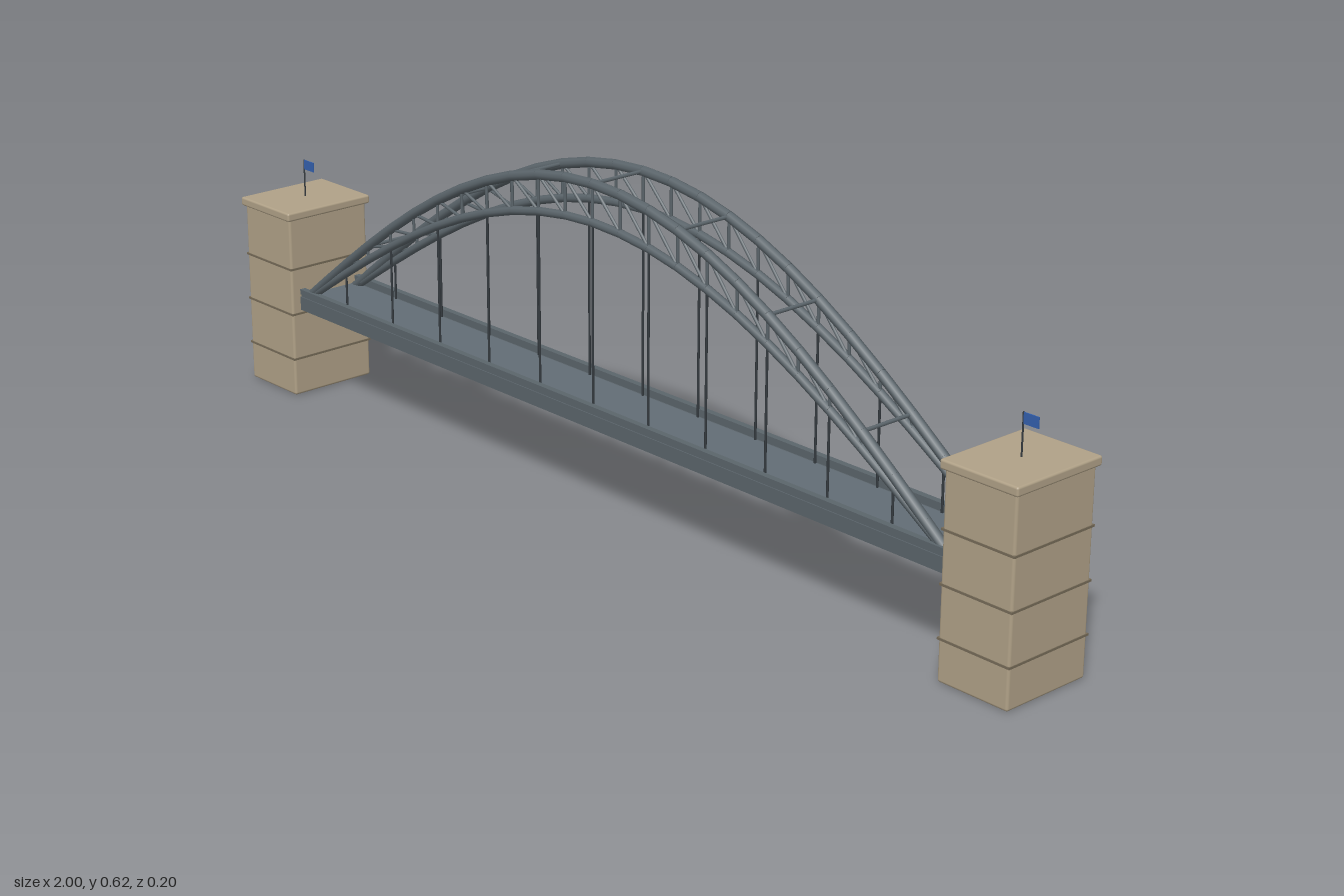
import * as THREE from 'three';
import { RoundedBoxGeometry } from 'three/addons/geometries/RoundedBoxGeometry.js';

const material = (name, color) => {
  const m = new THREE.MeshStandardMaterial({ color });
  m.name = name;
  return m;
};

export function createModel() {
  const model = new THREE.Group();
  model.name = 'archBridge';

  const stone = material('sandstone', 0xb0a187);
  const joint = material('dark stone joint', 0x766b58);
  const steel = material('grey steel', 0x5b656b);
  const road = material('road surface', 0x626d75);
  const dark = material('dark cable', 0x353b40);
  const blue = material('flag blue', 0x3360ae);

  const add = (parent, name, geometry, mat, x = 0, y = 0, z = 0) => {
    const mesh = new THREE.Mesh(geometry, mat);
    mesh.name = name;
    mesh.position.set(x, y, z);
    parent.add(mesh);
    return mesh;
  };

  // Straight bar between two points
  const up = new THREE.Vector3(0, 1, 0);
  const bar = (parent, name, a, b, radius, mat, sides = 6) => {
    const dir = b.clone().sub(a);
    const mesh = add(parent, name, new THREE.CylinderGeometry(radius, radius, dir.length(), sides), mat);
    mesh.position.copy(a).add(b).multiplyScalar(0.5);
    mesh.quaternion.setFromUnitVectors(up, dir.normalize());
  };

  // Arch chords follow a half cosine over the span
  const HALF = 0.857, BASE = 0.186, ARCH_Z = 0.0585, DECK_TOP = 0.2;
  const chordPoint = (x, rise, z) =>
    new THREE.Vector3(x, BASE + rise * Math.cos((Math.PI / 2) * (x / HALF)), z);
  const upper = (x, z) => chordPoint(x, 0.429, z);
  const lower = (x, z) => chordPoint(x, 0.36, z);

  // Stone towers with caps, joints and flags
  for (const side of [-1, 1]) {
    const tower = new THREE.Group();
    tower.name = side > 0 ? 'leftTower' : 'rightTower';
    tower.position.x = side * 0.9215;
    model.add(tower);
    add(tower, 'towerBody', new RoundedBoxGeometry(0.145, 0.364, 0.183, 2, 0.005), stone, 0, 0.182);
    add(tower, 'towerCap', new RoundedBoxGeometry(0.157, 0.017, 0.196, 2, 0.004), stone, 0, 0.3665);
    for (const y of [0.075, 0.167, 0.259])
      add(tower, 'stoneJoint', new THREE.BoxGeometry(0.148, 0.004, 0.186), joint, 0, y);
    add(tower, 'flagPole', new THREE.CylinderGeometry(0.0015, 0.0015, 0.076, 8), dark, 0, 0.411);
    add(tower, 'flag', new THREE.BoxGeometry(0.03, 0.019, 0.002), blue, 0.016, 0.439);
  }

  // Deck with road, edge girders and handrails
  const deck = new THREE.Group();
  deck.name = 'deck';
  model.add(deck);
  const length = 1.71;
  add(deck, 'deckSlab', new THREE.BoxGeometry(length, 0.024, 0.136), steel, 0, 0.1865);
  add(deck, 'roadSurface', new THREE.BoxGeometry(length, 0.003, 0.12), road, 0, 0.1995);
  for (const side of [-1, 1]) {
    add(deck, 'edgeGirder', new THREE.BoxGeometry(length, 0.027, 0.012), steel, 0, 0.1875, side * 0.066);
    add(deck, 'railBase', new THREE.BoxGeometry(length, 0.006, 0.008), steel, 0, 0.203, side * 0.066);
    add(deck, 'edgeRail', new THREE.BoxGeometry(length, 0.01, 0.012), steel, 0, 0.211, side * 0.066);
  }

  // Two trussed arches with hangers
  const PANELS = 24, panel = (2 * HALF) / PANELS;
  for (const side of [-1, 1]) {
    const z = side * ARCH_Z;
    const arch = new THREE.Group();
    arch.name = side > 0 ? 'frontArch' : 'backArch';
    model.add(arch);
    for (let i = 0; i < PANELS; i++) {
      const x = -HALF + i * panel, next = x + panel;
      // Straight chord segments
      bar(arch, 'upperChord', upper(x, z), upper(next, z), 0.0095, steel, 8);
      bar(arch, 'lowerChord', lower(x, z), lower(next, z), 0.008, steel, 8);
      // Posts and diagonals between the chords
      if (i > 0) {
        bar(arch, 'trussPost', upper(x, z), lower(x, z), 0.003, steel);
        bar(arch, 'trussDiagonal', upper(x, z), lower(next, z), 0.003, steel);
      }
    }
    // Vertical hangers
    for (let i = -5; i <= 5; i++) {
      const x = i * HALF / 6;
      bar(arch, 'hanger', new THREE.Vector3(x, DECK_TOP, z), lower(x, z), 0.0023, dark);
    }
  }

  // Cross braces joining the upper chords
  for (let i = -3; i <= 3; i++) {
    const x = i * HALF / 4;
    bar(model, 'crossBrace', upper(x, -ARCH_Z), upper(x, ARCH_Z), 0.0035, steel, 8);
  }

  return model;
}
